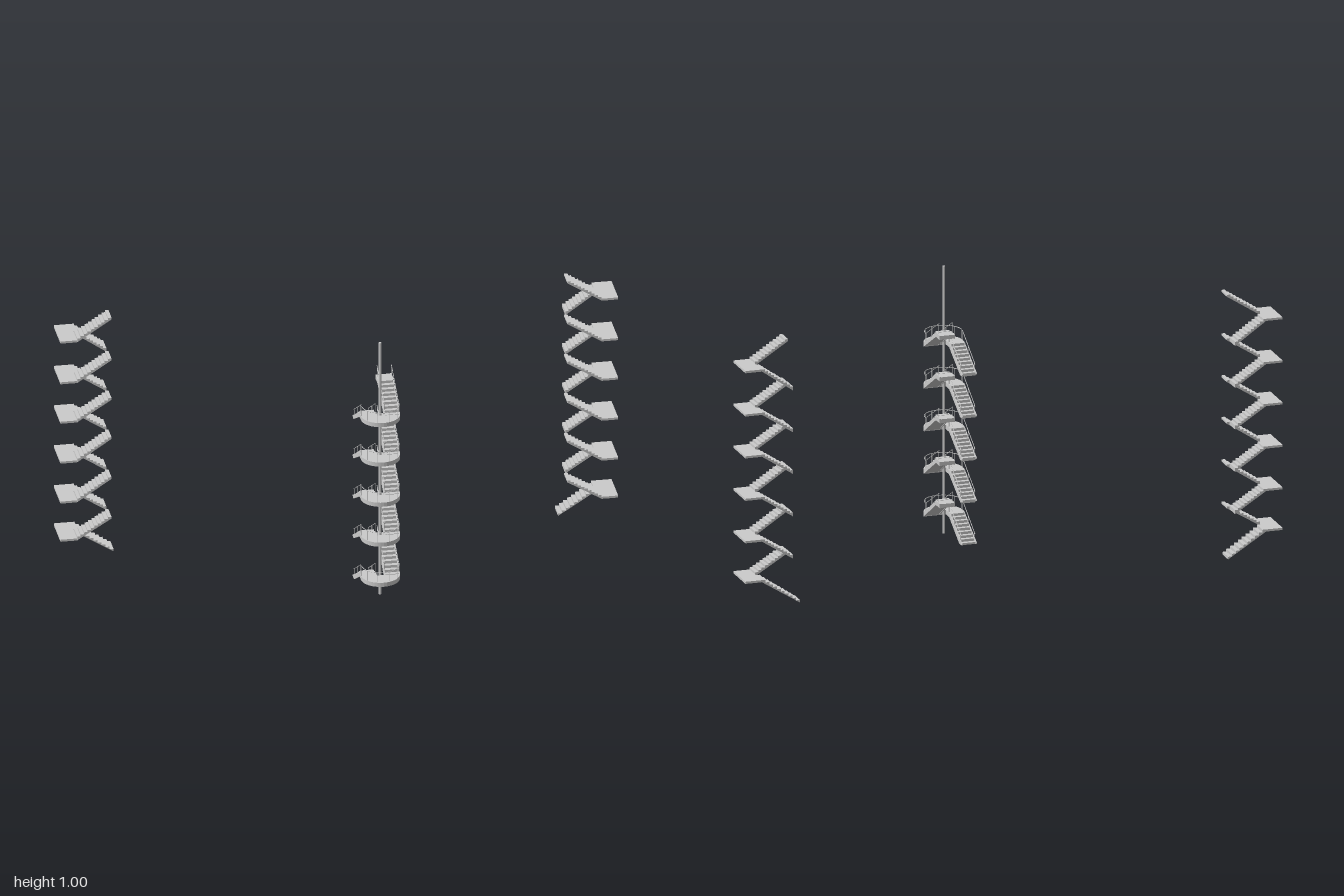
import * as THREE from 'three';

const mat = new THREE.MeshStandardMaterial({ color: 0xcccccc, flatShading: true, side: THREE.DoubleSide });

function add(parent, name, geo, x = 0, y = 0, z = 0) {
  const m = new THREE.Mesh(geo, mat);
  m.name = name;
  m.position.set(x, y, z);
  parent.add(m);
  return m;
}

function extrude(points, depth) {
  const shape = new THREE.Shape(points.map(p => new THREE.Vector2(p[0], p[1])));
  return new THREE.ExtrudeGeometry(shape, { depth, bevelEnabled: false, curveSegments: 16 });
}

// Stepped profile rising from (u0,y0) to (u1,y1) with a sloping underside
function stepProfile(u0, y0, u1, y1, n, t, startT = t) {
  const pts = [[u0, y0 - startT]];
  for (let i = 0; i < n; i++) {
    const y = y0 + (y1 - y0) * (i + 1) / n;
    pts.push([u0 + (u1 - u0) * i / n, y], [u0 + (u1 - u0) * (i + 1) / n, y]);
  }
  pts.push([u1, y1 - t]);
  return pts;
}

// Thin rod between two points
function rod(parent, name, a, b, r = 0.0012) {
  const va = new THREE.Vector3(...a), vb = new THREE.Vector3(...b);
  const d = vb.clone().sub(va);
  const m = add(parent, name, new THREE.CylinderGeometry(r, r, d.length(), 6));
  m.position.copy(va).add(vb).multiplyScalar(0.5);
  m.quaternion.setFromUnitVectors(new THREE.Vector3(0, 1, 0), d.normalize());
}

// Zigzag staircase on one side, s = +1 or -1
function sideStair(s) {
  const g = new THREE.Group();
  g.name = s > 0 ? 'leftStaircase' : 'rightStaircase';
  const landings = [0.097, 0.247, 0.404, 0.561, 0.716, 0.876];
  const turns = [0, 0.172, 0.328, 0.485, 0.639, 0.794, 0.955];
  const flight = (name, a, b, z, startT) => add(g, name,
    extrude(stepProfile(s * a[0], a[1], s * b[0], b[1], 10, 0.007, startT), 0.063), 0, 0, z);
  landings.forEach((y, i) => {
    add(g, 'landing', new THREE.BoxGeometry(0.06, 0.008, 0.134), s * 0.97, y - 0.004, -0.262);
    flight('lowerFlight', [i ? 0.823 : 0.797, turns[i]], [0.94, y], -0.329, i ? 0.007 : 0);
    flight('upperFlight', [0.94, y], [0.817, turns[i + 1]], -0.257);
  });
  return g;
}

const OUT = 0.0695, INN = 0.0125, THICK = 0.016, ZC = 0.262, RAIL = 0.038, RIM = 0.067;

// Profile in the (z,y) plane extruded across x from x0 to x1
function across(parent, name, pts, x0, x1) {
  const geo = extrude(pts, x1 - x0);
  geo.rotateY(-Math.PI / 2);
  add(parent, name, geo, x1, 0, 0);
}

// Flight between two stringers, on side s of the pole
function stringerFlight(g, name, s, steps, stringer) {
  const x0 = s > 0 ? INN : -OUT, x1 = s > 0 ? OUT : -INN, w = 0.004;
  across(g, name + 'Stringer', stringer, x0, x0 + w);
  across(g, name + 'Stringer', stringer, x1 - w, x1);
  across(g, name + 'Steps', steps, x0 + w, x1 - w);
}

// Handrail with posts on both edges of a flight; a and b are [z, y]
function flightRails(g, s, a, b, drop) {
  for (const x of [s * (INN + 0.003), s * RIM]) {
    rod(g, 'handrail', [x, a[1], a[0]], [x, b[1], b[0]]);
    for (const t of [0.03, 0.47, 0.95]) {
      const z = a[0] + (b[0] - a[0]) * t, y = a[1] + (b[1] - a[1]) * t;
      rod(g, 'railPost', [x, y - drop, z], [x, y, z]);
    }
  }
}

function centreStair() {
  const g = new THREE.Group();
  g.name = 'centreStaircase';
  g.position.x = 0.0645;
  add(g, 'pole', new THREE.CylinderGeometry(0.005, 0.005, 0.988, 12), 0, 0.504, 0.257);
  const landings = [0.09, 0.248, 0.405, 0.563, 0.718];
  const turns = [0.014, 0.172, 0.328, 0.486, 0.641, 0.794];

  // Half-round landing outline in (x,z)
  const plan = [[-OUT, 0.235], [-INN, 0.235], [-INN, 0.27], [OUT, 0.27]];
  for (let i = 1; i <= 20; i++) {
    const a = Math.PI * i / 20;
    plan.push([OUT * Math.cos(a), ZC + OUT * Math.sin(a)]);
  }

  landings.forEach((L, i) => {
    const lo = turns[i], hi = turns[i + 1];
    const slab = extrude(plan, THICK);
    slab.rotateX(Math.PI / 2);
    add(g, 'roundLanding', slab, 0, L, 0);

    // Flight rising to the front
    const foot = i
      ? [[0.095, lo - 0.003], [0.095, lo], [0.235, L], [0.245, L], [0.245, L - THICK], [0.235, L - THICK], [0.112, lo - 0.007]]
      : [[0.095, 0.01], [0.095, lo], [0.235, L], [0.245, L], [0.245, L - THICK], [0.235, L - THICK], [0.125, 0.01]];
    stringerFlight(g, 'frontFlight', -1,
      stepProfile(0.1, lo - 0.006, 0.235, L, 9, 0.014, i ? 0.002 : -0.002), foot);
    flightRails(g, -1, [0.25, L + RAIL], [0.11, L - 0.047], 0.036);

    // Flight rising to the back, ending in a short flat
    stringerFlight(g, 'backFlight', 1,
      stepProfile(0.272, L - 0.008, 0.137, hi, 9, 0.014, 0.007),
      [[0.272, L - THICK], [0.137, hi - THICK], [0.095, hi - THICK], [0.095, hi], [0.137, hi], [0.272, L]]);
    add(g, 'backLanding', new THREE.BoxGeometry(OUT - INN, THICK - 0.002, 0.042),
      (OUT + INN) / 2, hi - THICK / 2, 0.116);
    flightRails(g, 1, [0.255, L + RAIL], [0.11, L + 0.117], 0.036);

    // Curved rail round the landing rim
    const rim = new THREE.TorusGeometry(RIM, 0.0012, 6, 20, Math.PI);
    rim.rotateX(Math.PI / 2);
    add(g, 'landingRail', rim, 0, L + RAIL, ZC);
    for (let k = 0; k <= 5; k++) {
      const a = Math.PI * k / 5, x = RIM * Math.cos(a), z = ZC + RIM * Math.sin(a);
      rod(g, 'landingPost', [x, L, z], [x, L + RAIL, z]);
    }
  });
  return g;
}

export function createModel() {
  const model = new THREE.Group();
  model.name = 'staircases';
  model.add(sideStair(1), sideStair(-1), centreStair());
  return model;
}
